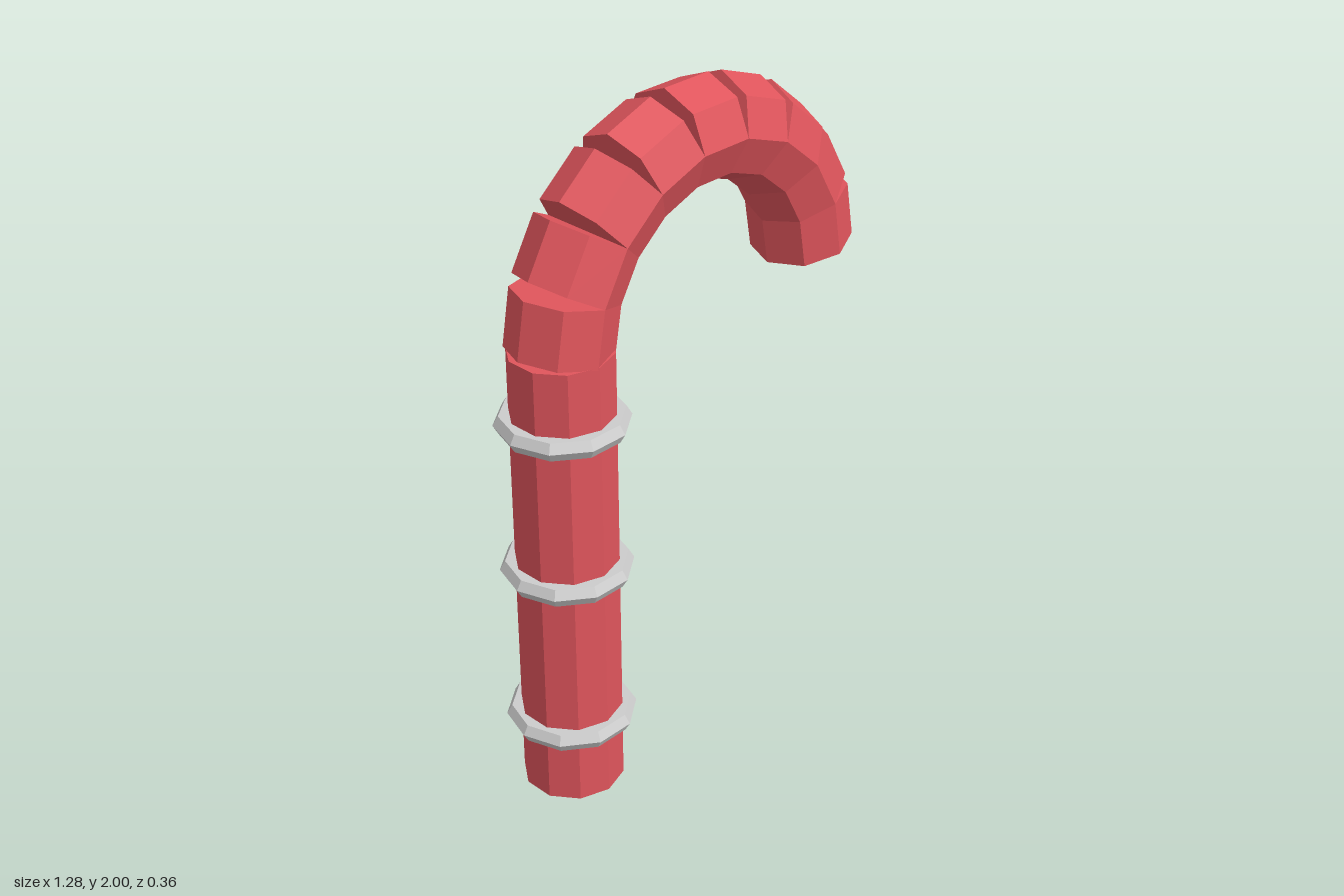
import * as THREE from 'three';

export function createModel() {
  const group = new THREE.Group();
  const red = new THREE.MeshStandardMaterial({ color: 0xe0555c, flatShading: true });
  const grey = new THREE.MeshStandardMaterial({ color: 0xcccccc, flatShading: true });

  const add = (name, geometry, material, x, y) => {
    const mesh = new THREE.Mesh(geometry, material);
    mesh.name = name;
    mesh.position.set(x, y, 0);
    group.add(mesh);
    return mesh;
  };

  const radius = 0.147;
  const stemX = -0.455;
  const stemHeight = 1.39;

  // Straight ten-sided stem
  add('stem', new THREE.CylinderGeometry(radius, radius, stemHeight, 10), red, stemX, stemHeight / 2);

  // Hook: nine straight octagonal segments along an arch, meeting on its centre line
  const archX = 0.017, archY = 1.383, archRadius = 0.47;
  const step = Math.PI / 9;
  const length = 2 * archRadius * Math.tan(step / 2);
  const segment = new THREE.CylinderGeometry(radius, radius, length, 8);
  for (let i = -4; i <= 4; i++) {
    const a = i * step;
    const mesh = add(`hookSegment${i + 5}`, segment, red,
      archX + archRadius * Math.sin(a), archY + archRadius * Math.cos(a));
    mesh.rotation.z = -Math.PI / 2 - a;
  }

  // Hexagonal-section bands around the stem
  const band = new THREE.TorusGeometry(0.156, 0.031, 6, 10).rotateX(Math.PI / 2);
  [0.222, 0.718, 1.177].forEach((y, i) => add(`band${i + 1}`, band, grey, stemX, y));

  return group;
}
